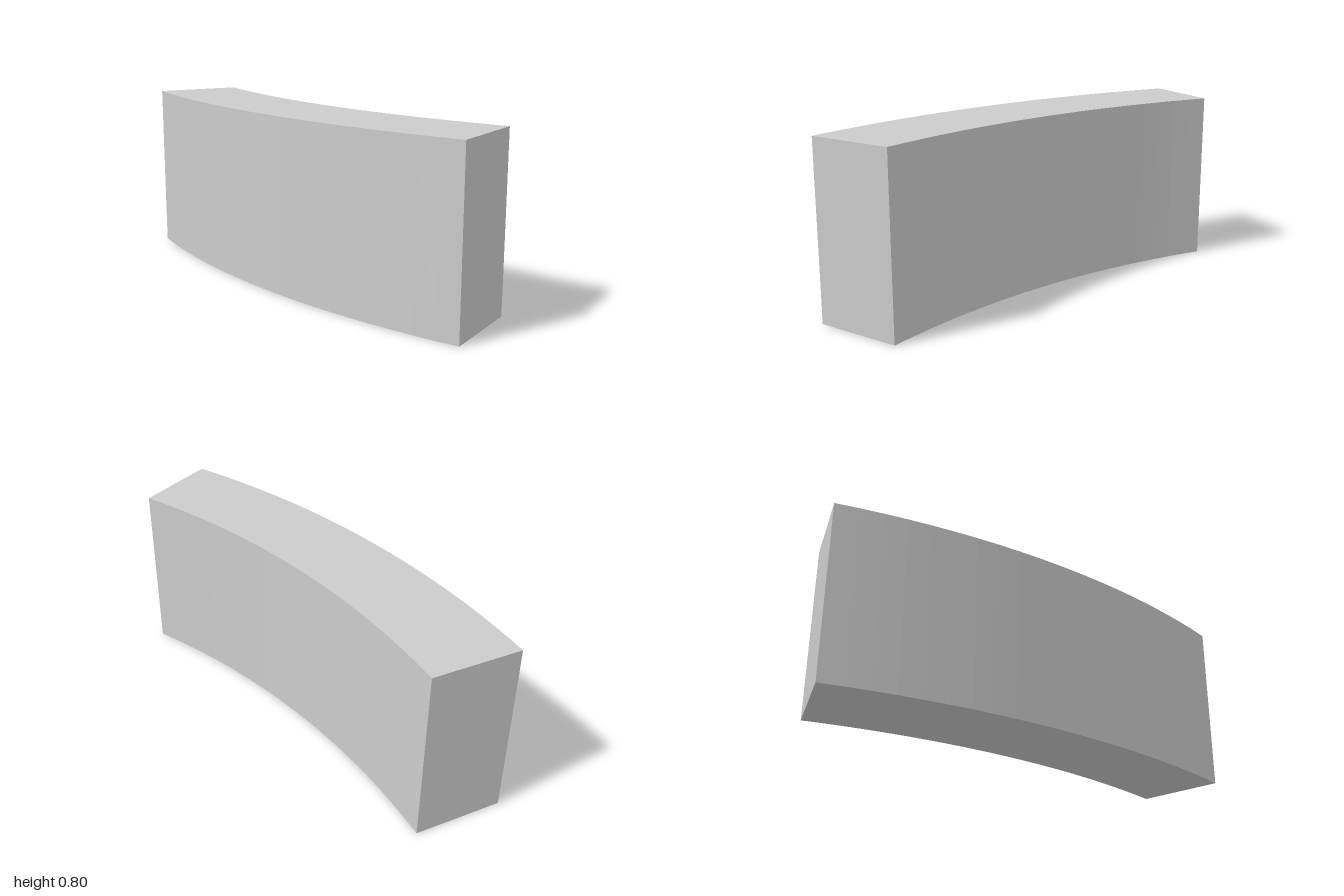
import * as THREE from 'three';

export function createModel() {
  const group = new THREE.Group();
  const outer = 4, inner = 3.6, height = 0.8, sweep = Math.PI / 6;
  // arc centre, placed so the block is centred on x and z
  const cx = (outer + inner * Math.cos(sweep)) / 2, cy = 1;

  // plan outline: a 30 degree ring segment
  const plan = new THREE.Shape();
  plan.absarc(cx, cy, outer, Math.PI, Math.PI + sweep, false);
  plan.absarc(cx, cy, inner, Math.PI + sweep, Math.PI, true);
  plan.closePath();

  // raise the plan into an upright block (20 facets along each arc)
  const geometry = new THREE.ExtrudeGeometry(plan, { depth: height, bevelEnabled: false, curveSegments: 10 });
  geometry.rotateX(-Math.PI / 2);

  const block = new THREE.Mesh(geometry, new THREE.MeshStandardMaterial({ color: 0xcccccc, flatShading: true }));
  block.name = 'curvedWallBlock';
  group.add(block);
  return group;
}
